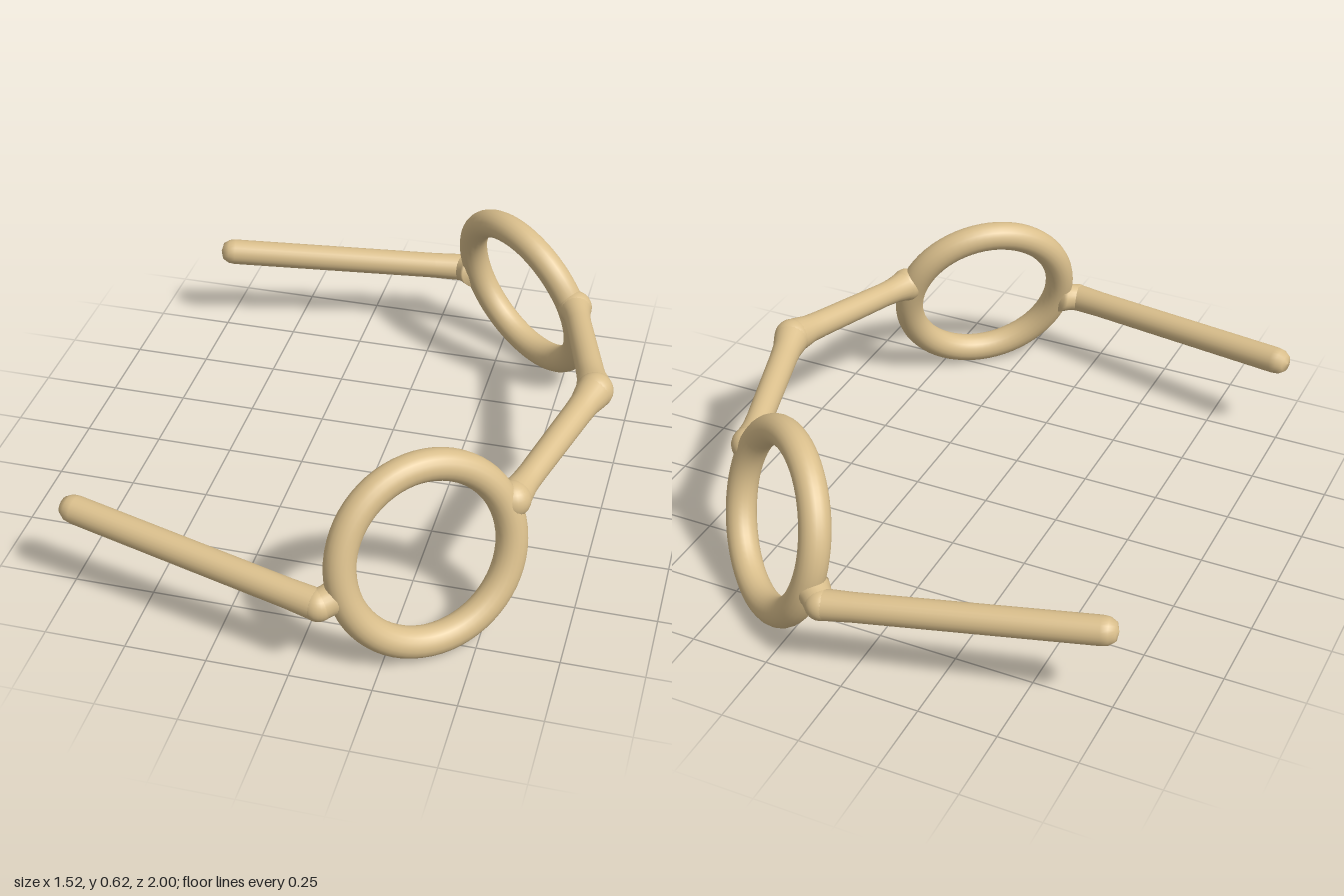
import * as THREE from 'three';

const RING_R = 0.273, TUBE_R = 0.048;

// Round bar from a to b; profile is a list of [radius, distance along the bar],
// where a negative distance is measured back from b.
function bar(name, a, b, profile, material) {
  const dir = b.clone().sub(a);
  const length = dir.length();
  const pts = profile.map(([r, d]) => new THREE.Vector2(r, d < 0 ? length + d : d));
  const mesh = new THREE.Mesh(new THREE.LatheGeometry(pts, 24), material);
  mesh.name = name;
  mesh.position.copy(a);
  mesh.quaternion.setFromUnitVectors(new THREE.Vector3(0, 1, 0), dir.normalize());
  return mesh;
}

function ball(name, p, r, material) {
  const mesh = new THREE.Mesh(new THREE.SphereGeometry(r, 24, 16), material);
  mesh.name = name;
  mesh.position.copy(p);
  return mesh;
}

export function createModel() {
  const frameTan = new THREE.MeshStandardMaterial({ color: 0xdabf8c });
  frameTan.name = 'frameTan';
  const model = new THREE.Group();
  model.name = 'spectacleFrame';

  // Knuckle in the middle of the bridge
  const nose = new THREE.Vector3(0.7, 0.457, 0);
  model.add(ball('bridgeKnuckle', nose, 0.058, frameTan));

  for (const s of [1, -1]) {
    const side = new THREE.Group();
    side.name = s > 0 ? 'frontSide' : 'backSide';
    const at = (x, y, z) => new THREE.Vector3(x, y, z * s);

    // Tilted lens ring
    const rim = new THREE.Mesh(new THREE.TorusGeometry(RING_R, TUBE_R, 20, 64), frameTan);
    rim.name = 'lensRim';
    rim.position.copy(at(0.345, 0.318, 0.735));
    rim.quaternion.setFromUnitVectors(new THREE.Vector3(0, 0, 1), at(0.612, 0.255, 0.75).normalize());
    side.add(rim);

    // Half of the bridge, flaring into the rim
    const joint = at(0.55, 0.408, 0.535);
    side.add(bar('bridgeArm', nose, joint, [
      [0.057, 0], [0.054, 0.03], [0.046, 0.075], [0.044, 0.13],
      [0.041, -0.12], [0.043, -0.07], [0.05, -0.025], [0.056, -0.001],
    ], frameTan));
    side.add(ball('bridgeJoint', joint, 0.056, frameTan));

    // Hinge stub flaring into the rim
    const hinge = at(0.08, 0.25, 0.952);
    side.add(bar('hingeStub', hinge, at(0.15, 0.268, 0.893), [
      [0.047, 0], [0.047, 0.03], [0.052, 0.055], [0.054, 0.07], [0, 0.09],
    ], frameTan));
    side.add(ball('hingeKnuckle', hinge, 0.048, frameTan));

    // Temple with a rounded tip
    side.add(bar('temple', hinge, at(-0.765, 0.302, 0.762), [
      [0.047, 0], [0.044, 0.1], [0.044, -0.05], [0.041, -0.028], [0.028, -0.008], [0, -0.001],
    ], frameTan));

    model.add(side);
  }
  return model;
}
